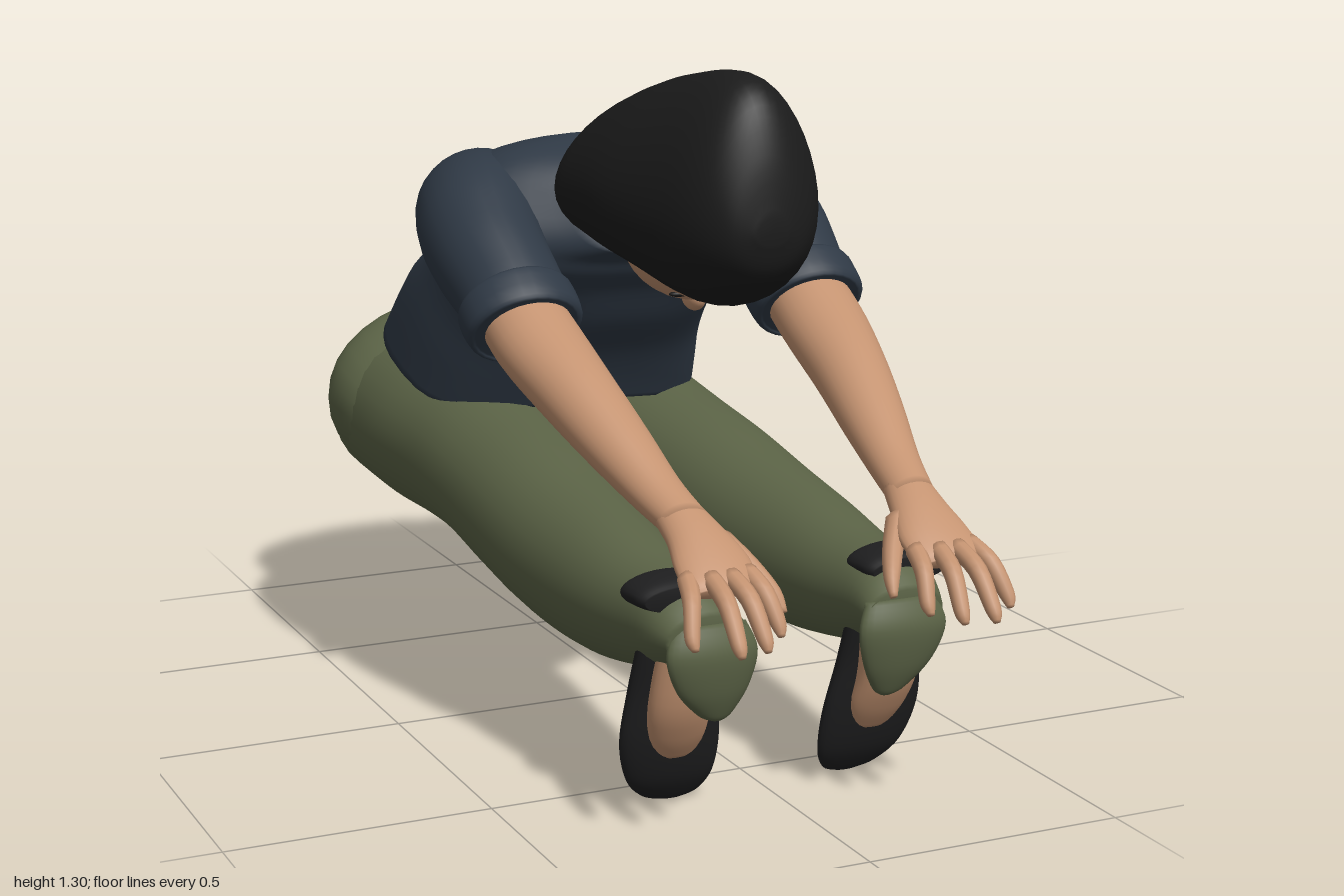
import * as THREE from 'three';

const mat = (name, color) => {
  const m = new THREE.MeshStandardMaterial({ color });
  m.name = name;
  return m;
};

// Catmull-Rom value between b and c
const spline = (a, b, c, d, t) =>
  0.5 * (2 * b + (c - a) * t + (2 * a - 5 * b + 4 * c - d) * t * t + (3 * b - a - 3 * c + d) * t * t * t);

// Smooth closed body through oval rings: [x, topY, topZ, bottomY, bottomZ, halfWidth]
// power squares the oval, taper narrows its top, droop lowers the sides of a hem near y = 0.6
function loft(rings, { sides = 28, steps = 5, power = 2, taper = 0, droop = 0 } = {}) {
  const rows = [];
  const at = (i) => rings[Math.min(Math.max(i, 0), rings.length - 1)];
  for (let i = 0; i < rings.length - 1; i++)
    for (let s = 0; s < steps; s++)
      rows.push(rings[i].map((_, k) => spline(at(i - 1)[k], at(i)[k], at(i + 1)[k], at(i + 2)[k], s / steps)));
  rows.push(at(rings.length));
  const pos = [], idx = [];
  const round = (v) => Math.sign(v) * Math.abs(v) ** (2 / power);
  for (const [x, ty, tz, by, bz, w] of rows)
    for (let j = 0; j < sides; j++) {
      const a = (j / sides) * Math.PI * 2;
      const c = round(Math.cos(a)), s = round(Math.sin(a));
      const y = (ty + by) / 2 + ((ty - by) / 2) * s;
      const low = droop * c * c * Math.min(Math.max((0.8 - y) / 0.17, 0), 1);
      pos.push(x + w * c * (1 - taper * s), y - low, (tz + bz) / 2 + ((tz - bz) / 2) * s);
    }
  const n = rows.length;
  for (let i = 0; i < n - 1; i++)
    for (let j = 0; j < sides; j++) {
      const a = i * sides + j, b = i * sides + ((j + 1) % sides);
      idx.push(a, b, a + sides, b, b + sides, a + sides);
    }
  // end caps
  [0, n - 1].forEach((r, e) => {
    const [x, ty, tz, by, bz] = rows[r];
    pos.push(x, (ty + by) / 2, (tz + bz) / 2);
    for (let j = 0; j < sides; j++) {
      const a = r * sides + j, b = r * sides + ((j + 1) % sides);
      idx.push(n * sides + e, e ? a : b, e ? b : a);
    }
  });
  // turn the faces outward whichever way the rings run
  let volume = 0;
  const v = (i) => new THREE.Vector3().fromArray(pos, i * 3);
  for (let i = 0; i < idx.length; i += 3) volume += v(idx[i]).dot(v(idx[i + 1]).cross(v(idx[i + 2])));
  if (volume < 0) idx.reverse();
  const g = new THREE.BufferGeometry();
  g.setAttribute('position', new THREE.Float32BufferAttribute(pos, 3));
  g.setIndex(idx);
  g.computeVertexNormals();
  return g;
}

// Tube through points [x, y, z, halfWidth, halfHeight], rings square to the path
function limb(points, options) {
  return loft(points.map(([x, y, z, w, h = w], i) => {
    const p = points[Math.max(i - 1, 0)], q = points[Math.min(i + 1, points.length - 1)];
    const dy = q[1] - p[1], dz = q[2] - p[2], l = Math.hypot(dy, dz);
    const uy = (dz / l) * h, uz = (-dy / l) * h;
    return [x, y + uy, z + uz, y - uy, z - uz, w];
  }), options);
}

export function createModel() {
  const model = new THREE.Group();
  const skin = mat('skin', 0xc49371);
  const shirt = mat('navy shirt', 0x2f3945);
  const pants = mat('olive cloth', 0x5b6346);
  const hair = mat('black hair', 0x1b1b1b);
  const shoe = mat('black shoe', 0x1f1f20);
  const lip = mat('lips', 0xa8695a);

  const add = (name, geometry, material) => {
    const m = new THREE.Mesh(geometry, material);
    m.name = name;
    model.add(m);
    return m;
  };
  const ball = (name, material, x, y, z, rx, ry, rz) => {
    const m = add(name, new THREE.SphereGeometry(1, 24, 16), material);
    m.position.set(x, y, z);
    m.scale.set(rx, ry, rz);
    return m;
  };

  // Torso bent forward over the legs
  add('shirtBody', loft([
    [0, 0.70, -0.83, 0.575, -0.16, 0.305],
    [0, 0.805, -0.71, 0.63, -0.13, 0.29],
    [0, 0.905, -0.56, 0.69, -0.09, 0.27],
    [0, 1.00, -0.42, 0.76, -0.03, 0.27],
    [0, 1.065, -0.31, 0.83, 0.015, 0.305],
    [0, 1.115, -0.19, 0.87, 0.05, 0.335],
    [0, 1.135, -0.07, 0.90, 0.07, 0.28],
    [0, 1.105, 0.04, 0.92, 0.10, 0.14],
  ], { sides: 44, power: 2.7, droop: 0.05 }), shirt);
  // Back pleats
  for (const s of [-1, 1])
    add('backPleat', limb([
      [s * 0.04, 1.05, -0.345, 0.006], [s * 0.045, 0.995, -0.435, 0.008],
      [s * 0.035, 0.902, -0.56, 0.008], [s * 0.025, 0.80, -0.71, 0.004],
    ], { sides: 8 }), shirt);

  // Neck, face and hair
  add('neck', limb([[0, 1.02, -0.02, 0.085], [0, 1.02, 0.07, 0.08], [0, 1.03, 0.2, 0.085]]), skin);
  ball('face', skin, 0, 0.985, 0.28, 0.13, 0.125, 0.165);
  ball('nose', skin, 0, 0.865, 0.29, 0.02, 0.026, 0.035);
  ball('chin', skin, 0, 0.915, 0.17, 0.06, 0.045, 0.05);
  ball('mouth', lip, 0, 0.872, 0.225, 0.036, 0.012, 0.014);
  for (const s of [-1, 1]) ball('eye', hair, s * 0.05, 0.882, 0.335, 0.022, 0.006, 0.01);
  add('hair', loft([
    [0, 1.06, 0.612, 1.01, 0.61, 0.03],
    [0, 1.17, 0.597, 0.955, 0.59, 0.08],
    [0, 1.27, 0.555, 0.905, 0.53, 0.125],
    [0, 1.305, 0.47, 0.875, 0.44, 0.16],
    [0, 1.285, 0.30, 0.905, 0.30, 0.198],
    [0, 1.245, 0.15, 0.93, 0.17, 0.204],
    [0, 1.205, 0.055, 0.95, 0.10, 0.19],
    [0, 1.17, 0.04, 0.99, 0.08, 0.14],
  ], { sides: 36, taper: 0.22 }), hair);

  // Seat of the trousers
  add('hips', loft([
    [0, 0.49, -0.998, 0.41, -0.995, 0.05],
    [0, 0.57, -0.955, 0.31, -0.975, 0.18],
    [0, 0.635, -0.90, 0.265, -0.92, 0.275],
    [0, 0.695, -0.82, 0.26, -0.84, 0.355],
    [0, 0.69, -0.74, 0.27, -0.75, 0.378],
    [0, 0.63, -0.62, 0.29, -0.62, 0.36],
    [0, 0.59, -0.52, 0.33, -0.52, 0.30],
    [0, 0.55, -0.45, 0.38, -0.45, 0.21],
  ], { sides: 36, power: 2.2 }), pants);
  ball('seatFold', pants, 0, 0.30, -0.87, 0.09, 0.058, 0.09);

  for (const s of [-1, 1]) {
    const side = (pts) => pts.map(([x, ...rest]) => [s * x, ...rest]);

    // Trouser leg and its gathered cuff
    add('trouserLeg', limb(side([
      [0.20, 0.46, -0.78, 0.165, 0.17], [0.19, 0.45, -0.55, 0.178, 0.17],
      [0.185, 0.44, -0.35, 0.168, 0.16], [0.188, 0.425, -0.18, 0.162, 0.15],
      [0.195, 0.40, 0, 0.155, 0.15], [0.20, 0.37, 0.2, 0.145, 0.145],
      [0.205, 0.355, 0.4, 0.125, 0.132], [0.205, 0.355, 0.57, 0.105, 0.105],
      [0.205, 0.365, 0.70, 0.09, 0.08], [0.195, 0.355, 0.765, 0.078, 0.045],
    ])), pants);
    add('cuffFlap', limb(side([
      [0.19, 0.38, 0.755, 0.07, 0.022], [0.19, 0.33, 0.767, 0.088, 0.026],
      [0.185, 0.265, 0.76, 0.07, 0.022], [0.175, 0.215, 0.748, 0.035, 0.014],
      [0.17, 0.20, 0.745, 0.012, 0.006],
    ])), pants);

    // Foot and slipper, toes down
    add('foot', limb(side([
      [0.20, 0.36, 0.71, 0.06, 0.04], [0.21, 0.23, 0.682, 0.06, 0.037],
      [0.205, 0.16, 0.655, 0.058, 0.03], [0.20, 0.11, 0.63, 0.045, 0.02],
    ])), skin);
    add('slipper', loft(side([
      [0.21, 0.42, 0.70, 0.42, 0.65, 0.06], [0.21, 0.34, 0.71, 0.33, 0.625, 0.075],
      [0.21, 0.24, 0.685, 0.23, 0.605, 0.086], [0.205, 0.14, 0.66, 0.13, 0.59, 0.098],
      [0.195, 0.06, 0.63, 0.05, 0.578, 0.086], [0.185, 0.015, 0.60, 0.01, 0.572, 0.055],
      [0.18, 0.0, 0.585, 0.0, 0.574, 0.02],
    ])), shoe);
    add('slipperHeel', limb(side([
      [0.225, 0.42, 0.635, 0.08, 0.026], [0.225, 0.424, 0.655, 0.088, 0.034],
      [0.225, 0.426, 0.705, 0.086, 0.032], [0.225, 0.422, 0.73, 0.075, 0.024],
    ])), shoe);

    // Sleeve with turned-up cuff
    add('sleeve', limb(side([
      [0.20, 1.015, -0.28, 0.06, 0.05], [0.25, 1.005, -0.20, 0.115, 0.1],
      [0.285, 0.975, -0.09, 0.125, 0.125], [0.305, 0.92, 0.02, 0.113, 0.115],
      [0.30, 0.86, 0.12, 0.105, 0.10], [0.298, 0.82, 0.175, 0.105, 0.09],
    ])), shirt);
    add('sleeveCuff', limb(side([
      [0.30, 0.85, 0.135, 0.108, 0.096], [0.30, 0.842, 0.145, 0.116, 0.103],
      [0.30, 0.815, 0.188, 0.115, 0.095], [0.30, 0.81, 0.194, 0.1, 0.085],
    ]), { steps: 3 }), shirt);

    // Bare arm and hand
    add('arm', limb(side([
      [0.30, 0.85, 0.12, 0.08, 0.075], [0.295, 0.785, 0.25, 0.086, 0.07],
      [0.28, 0.72, 0.39, 0.075, 0.066], [0.26, 0.655, 0.52, 0.064, 0.055],
      [0.24, 0.595, 0.64, 0.05, 0.042], [0.225, 0.56, 0.73, 0.044, 0.034],
    ])), skin);
    add('palm', limb(side([
      [0.228, 0.57, 0.70, 0.044, 0.034], [0.22, 0.54, 0.765, 0.056, 0.032],
      [0.218, 0.51, 0.82, 0.07, 0.028], [0.222, 0.485, 0.865, 0.068, 0.02],
      [0.223, 0.475, 0.88, 0.055, 0.012],
    ])), skin);
    // each finger: knuckle x, z and tip x, y, z
    const fingers = [
      [0.165, 0.845, 0.145, 0.405, 0.945], [0.203, 0.86, 0.19, 0.395, 0.985],
      [0.24, 0.86, 0.245, 0.395, 0.998], [0.275, 0.84, 0.305, 0.40, 0.945],
    ];
    for (const [kx, kz, tx, ty, tz] of fingers)
      add('finger', limb(side([
        [kx, 0.497, kz, 0.018], [(kx + tx) / 2, 0.472, (kz + tz) / 2, 0.017],
        [tx, ty + 0.02, tz - 0.018, 0.014], [tx, ty, tz - 0.004, 0.006],
      ]), { sides: 10, steps: 4 }), skin);
    add('thumb', limb(side([
      [0.18, 0.535, 0.76, 0.026], [0.145, 0.495, 0.805, 0.022],
      [0.118, 0.455, 0.85, 0.016], [0.108, 0.425, 0.875, 0.007],
    ]), { sides: 10, steps: 4 }), skin);
  }
  return model;
}
